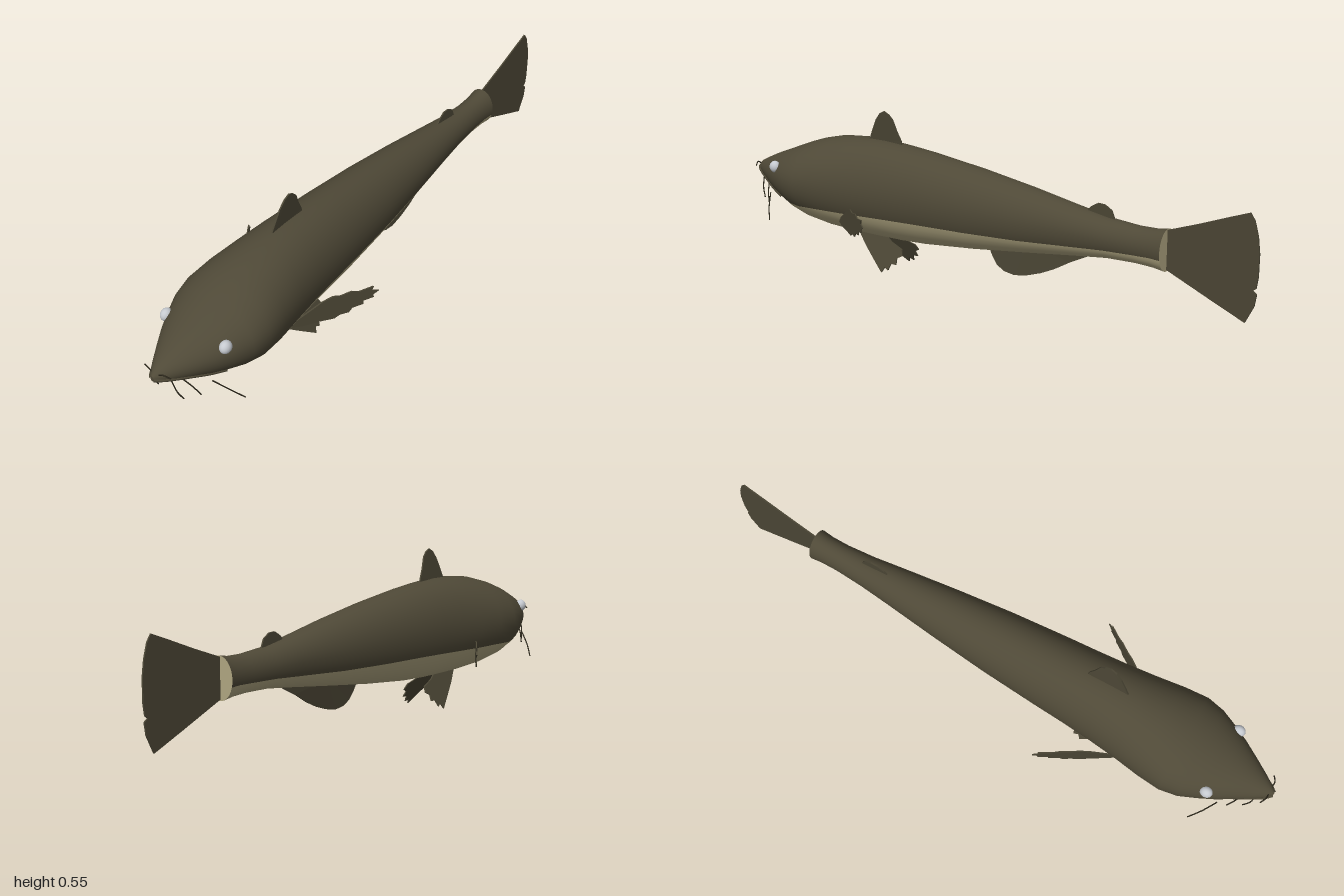
import * as THREE from 'three';

const mat = (name, color, side = THREE.FrontSide) => {
  const m = new THREE.MeshStandardMaterial({ color, side });
  m.name = name;
  return m;
};

// Body stations: z, bottom, widest height, top, half width, seam height (mouth line, then belly line)
const STATIONS = [
  [1.0, 0.258, 0.266, 0.276, 0.006, 0.264], [0.98, 0.245, 0.265, 0.29, 0.025, 0.259],
  [0.95, 0.23, 0.266, 0.305, 0.045, 0.25], [0.9, 0.207, 0.268, 0.328, 0.076, 0.235],
  [0.85, 0.185, 0.27, 0.348, 0.106, 0.218], [0.8, 0.166, 0.273, 0.368, 0.131, 0.202],
  [0.74, 0.145, 0.276, 0.392, 0.157, 0.195], [0.68, 0.128, 0.279, 0.413, 0.168, 0.197],
  [0.6, 0.115, 0.28, 0.433, 0.16, 0.2], [0.5, 0.11, 0.28, 0.444, 0.144, 0.2],
  [0.4, 0.11, 0.28, 0.446, 0.132, 0.203], [0.3, 0.112, 0.28, 0.441, 0.124, 0.207],
  [0.2, 0.118, 0.28, 0.433, 0.118, 0.211], [0.0, 0.14, 0.28, 0.411, 0.104, 0.216],
  [-0.2, 0.167, 0.28, 0.383, 0.085, 0.223], [-0.4, 0.195, 0.28, 0.35, 0.063, 0.236],
  [-0.5, 0.208, 0.275, 0.335, 0.052, 0.243], [-0.6, 0.212, 0.272, 0.329, 0.045, 0.247],
  [-0.66, 0.21, 0.272, 0.331, 0.045, 0.25], [-0.7, 0.205, 0.272, 0.338, 0.049, 0.25],
];
const UPPER = 32, LOWER = 16, RING = UPPER + LOWER;

// One cross-section; the first UPPER steps run over the back, the rest under the belly
function ring([z, bottom, mid, top, half, seam]) {
  const a = Math.asin((seam - mid) / (mid - bottom));
  return Array.from({ length: RING }, (_, j) => {
    const t = j < UPPER
      ? a + (Math.PI - 2 * a) * j / UPPER
      : Math.PI - a + (Math.PI + 2 * a) * (j - UPPER) / LOWER;
    const s = Math.sin(t);
    return new THREE.Vector3(half * Math.cos(t), mid + s * (s > 0 ? top - mid : mid - bottom), z);
  });
}

function bodyGeometry(rings) {
  const back = [], belly = [];
  for (let i = 0; i < rings.length - 1; i++) {
    for (let j = 0; j < RING; j++) {
      const k = (j + 1) % RING;
      const a = i * RING + j, b = i * RING + k, c = a + RING, d = b + RING;
      const pale = j >= UPPER && STATIONS[i][0] < 0.75; // the chin stays dark
      (pale ? belly : back).push(a, c, b, b, c, d);
    }
  }
  const geo = new THREE.BufferGeometry().setFromPoints(rings.flat());
  geo.setIndex([...back, ...belly]);
  geo.addGroup(0, back.length, 0);
  geo.addGroup(back.length, belly.length, 1);
  geo.computeVertexNormals();
  return geo;
}

// Flat end closing a ring
function capGeometry(points, facing) {
  const index = [];
  for (let j = 1; j < RING - 1; j++) index.push(0, ...(facing > 0 ? [j, j + 1] : [j + 1, j]));
  const geo = new THREE.BufferGeometry().setFromPoints(points);
  geo.setIndex(index);
  geo.computeVertexNormals();
  return geo;
}

// Thin fin from a (z, y) outline; bend(z, y) gives its sideways position
function finGeometry(outline, bend, thick = 0.005) {
  const shape = new THREE.Shape(outline.map(([z, y]) => new THREE.Vector2(z, y)));
  const geo = new THREE.ExtrudeGeometry(shape, { depth: thick, bevelEnabled: false });
  const p = geo.attributes.position;
  for (let i = 0; i < p.count; i++) {
    const z = p.getX(i), y = p.getY(i);
    p.setXYZ(i, bend(z, y) + p.getZ(i) - thick / 2, y, z);
  }
  geo.computeVertexNormals();
  return geo;
}

export function createModel() {
  const group = new THREE.Group();
  const olive = mat('olive skin', 0x4f4937);
  const cream = mat('cream belly', 0xb0a681);
  const finMat = mat('olive fin', 0x4a4534, THREE.DoubleSide);
  const dark = mat('dark barbel', 0x2b271b);
  const eyeMat = mat('pale eye', 0xc6cad0);

  const add = (name, geo, material) => {
    const m = new THREE.Mesh(geo, material);
    m.name = name;
    group.add(m);
    return m;
  };
  const tube = (pts, r, steps = 12) => new THREE.TubeGeometry(
    new THREE.CatmullRomCurve3(pts.map((p) => new THREE.Vector3(...p))), steps, r, 6);

  // Body
  const rings = STATIONS.map(ring);
  add('body', bodyGeometry(rings), [olive, cream]);
  add('snoutTip', capGeometry(rings[0], 1), olive);
  add('tailEnd', capGeometry(rings.at(-1), -1), cream);

  // Fins on the centre line
  add('dorsalFin', finGeometry([
    [0.47, 0.43], [0.45, 0.475], [0.43, 0.515], [0.41, 0.54], [0.39, 0.55], [0.37, 0.54],
    [0.355, 0.525], [0.34, 0.485], [0.325, 0.455], [0.32, 0.43],
  ], (z, y) => Math.max(0, y - 0.44) * 0.1), finMat);
  add('adiposeFin', finGeometry([
    [-0.41, 0.335], [-0.43, 0.36], [-0.455, 0.375], [-0.48, 0.374], [-0.505, 0.36], [-0.52, 0.325],
  ], () => 0), finMat);
  add('analFin', finGeometry([
    [-0.04, 0.16], [-0.06, 0.125], [-0.08, 0.1], [-0.11, 0.085], [-0.15, 0.08], [-0.2, 0.09],
    [-0.25, 0.107], [-0.3, 0.13], [-0.36, 0.165], [-0.42, 0.195], [-0.42, 0.22], [-0.2, 0.19],
  ], (z, y) => Math.max(0, 0.16 - y) * 0.08), finMat);
  add('tailFin', finGeometry([
    [-0.68, 0.32], [-0.7, 0.335], [-0.8, 0.372], [-0.9, 0.412], [-0.965, 0.437], [-0.98, 0.415],
    [-0.993, 0.37], [-1, 0.32], [-1, 0.25], [-0.995, 0.215], [-0.985, 0.207], [-0.998, 0.198],
    [-0.992, 0.16], [-0.965, 0.105], [-0.85, 0.15], [-0.7, 0.21], [-0.68, 0.22],
  ], (z) => (-0.7 - z) * 0.02), finMat);

  // Paired parts
  for (const s of [1, -1]) {
    const side = s > 0 ? 'left' : 'right';
    add(side + 'PectoralFin', finGeometry([
      [0.53, 0.165], [0.47, 0.205], [0.43, 0.232], [0.4, 0.243], [0.38, 0.238], [0.35, 0.245],
      [0.33, 0.236], [0.29, 0.243], [0.295, 0.23], [0.275, 0.222], [0.292, 0.211], [0.29, 0.2],
      [0.32, 0.195], [0.32, 0.182], [0.35, 0.178], [0.36, 0.163], [0.385, 0.163], [0.4, 0.153],
      [0.44, 0.156], [0.49, 0.155],
    ], (z) => s * (0.13 + (0.48 - z) * 0.63)), finMat);
    add(side + 'PelvicFin', finGeometry([
      [0.51, 0.118], [0.46, 0.075], [0.41, 0.038], [0.36, 0.002], [0.352, 0.02], [0.335, 0.013],
      [0.33, 0.035], [0.308, 0.035], [0.312, 0.055], [0.292, 0.065], [0.3, 0.085], [0.35, 0.1],
      [0.4, 0.125],
    ], (z, y) => s * (0.023 + (0.11 - y) * 0.48)), finMat);

    // Eye
    const eye = add(side + 'Eye', new THREE.SphereGeometry(0.021, 20, 14), eyeMat);
    eye.position.set(s * 0.114, 0.312, 0.813);
    eye.scale.set(0.85, 1, 1);

    // Upper lip along the seam of the head
    const lip = rings.slice(0, 6).map((r) => [s * r[0].x, r[0].y, r[0].z]);
    add(side + 'Lip', tube(lip, 0.005, 24), olive);

    // Whiskers
    const whiskers = [
      [[0.03, 0.24, 0.955], [0.042, 0.2, 0.95], [0.05, 0.165, 0.935]],
      [[0.04, 0.225, 0.92], [0.062, 0.195, 0.905], [0.076, 0.16, 0.89]],
      [[0.095, 0.205, 0.86], [0.135, 0.167, 0.83], [0.165, 0.13, 0.8]],
      [[0.012, 0.277, 0.985], [0.03, 0.287, 0.985], [0.05, 0.276, 0.975]],
    ];
    whiskers.forEach((w, i) => add(`${side}Barbel${i + 1}`,
      tube(w.map(([x, y, z]) => [s * x, y, z]), 0.0022), dark));
  }
  return group;
}
